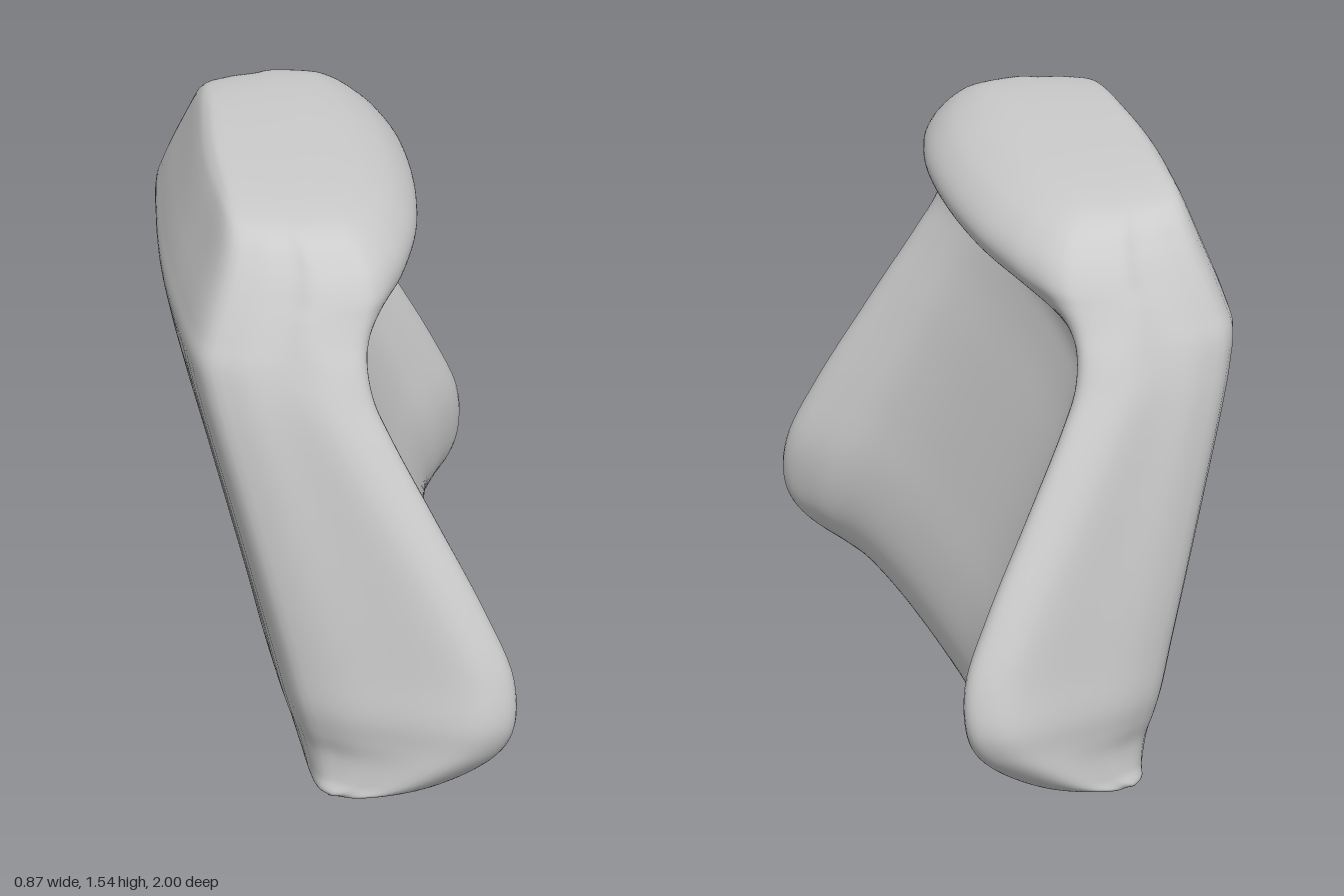
import * as THREE from 'three';

// Horizontal sections: height, back x, side-wing front x, centre front x, half width
const SECTIONS = [
  [0.0, -0.08, 0.0, -0.01, 0.84],
  [0.015, -0.11, 0.08, 0.05, 0.89],
  [0.05, -0.13, 0.22, 0.16, 0.935],
  [0.12, -0.155, 0.35, 0.26, 0.975],
  [0.18, -0.175, 0.41, 0.285, 0.993],
  [0.25, -0.195, 0.435, 0.288, 1.0],
  [0.37, -0.225, 0.43, 0.258, 0.978],
  [0.54, -0.27, 0.36, 0.19, 0.938],
  [0.8, -0.34, 0.225, 0.085, 0.868],
  [1.0, -0.395, 0.12, 0.005, 0.808],
  [1.1, -0.42, 0.075, -0.02, 0.773],
  [1.19, -0.435, 0.06, 0.005, 0.737],
  [1.25, -0.42, 0.065, 0.08, 0.71],
  [1.31, -0.4, 0.085, 0.177, 0.682],
  [1.35, -0.385, 0.1, 0.225, 0.662],
  [1.39, -0.37, 0.1, 0.242, 0.64],
  [1.43, -0.355, 0.09, 0.23, 0.612],
  [1.48, -0.335, 0.06, 0.18, 0.565],
  [1.51, -0.32, 0.025, 0.12, 0.51],
  [1.527, -0.305, -0.01, 0.065, 0.42],
  [1.537, -0.29, -0.05, 0.0, 0.28],
  [1.541, -0.265, -0.1, -0.06, 0.14],
];

const AROUND = 96, UP = 110;

// Closed smooth section, hollow or bulging at the front
function sectionRing([y, back, wing, centre, w]) {
  const depth = wing - back;
  const r = Math.min(0.13, depth * 0.28);
  // The back is narrower than the front, except along the bottom edge
  const taper = 0.16 - 0.06 * y - 0.14 * Math.exp(-y / 0.07);
  // The overhang bulges in a round arc, the hollow has a flatter floor
  const bulge = THREE.MathUtils.smoothstep(centre - wing, -0.06, 0.08);
  const front = (hollow, round) => wing + (centre - wing) * THREE.MathUtils.lerp(hollow, round, bulge);
  const half = [
    [back + r * 0.08, 0.4 * w],
    [back + r * 0.32, (0.89 - taper) * w],
    [back + r, (1 - taper) * w],
    [back + depth * 0.5, (1 - taper * 0.45) * w],
    [wing - r * (1 + 0.3 * bulge), w],
    [wing - r * (0.25 + 0.15 * bulge), (0.98 - 0.005 * bulge) * w],
    [wing, 0.925 * w],
    [front(0.32, 0.32), 0.82 * w],
    [front(0.72, 0.62), 0.66 * w],
    [front(0.94, 0.9), 0.38 * w],
  ];
  const point = ([x, z]) => new THREE.Vector3(x, y, z);
  const points = [
    point([back, 0]),
    ...half.map(point),
    point([centre, 0]),
    ...half.slice().reverse().map(([x, z]) => point([x, -z])),
  ];
  return new THREE.CatmullRomCurve3(points, true, 'catmullrom', 0.5).getPoints(AROUND).slice(0, AROUND);
}

// Smooth skin through all the sections, closed at both ends
function loftGeometry() {
  const rings = SECTIONS.map(sectionRing);
  const columns = [];
  for (let j = 0; j < AROUND; j++) {
    columns.push(new THREE.CatmullRomCurve3(rings.map((ring) => ring[j]), false, 'centripetal'));
  }
  const positions = [], index = [];
  for (let i = 0; i <= UP; i++) {
    for (const column of columns) positions.push(...column.getPoint(i / UP).toArray());
  }
  const at = (i, j) => i * AROUND + (j % AROUND);
  for (let i = 0; i < UP; i++) {
    for (let j = 0; j < AROUND; j++) {
      index.push(at(i, j), at(i, j + 1), at(i + 1, j));
      index.push(at(i, j + 1), at(i + 1, j + 1), at(i + 1, j));
    }
  }
  const bottom = positions.length / 3, top = bottom + 1;
  positions.push(-0.05, 0, 0, -0.17, 1.543, 0);
  for (let j = 0; j < AROUND; j++) {
    index.push(bottom, at(0, j + 1), at(0, j));
    index.push(top, at(UP, j), at(UP, j + 1));
  }
  const geometry = new THREE.BufferGeometry();
  geometry.setAttribute('position', new THREE.Float32BufferAttribute(positions, 3));
  geometry.setIndex(index);
  geometry.computeVertexNormals();
  return geometry;
}

export function createModel() {
  const group = new THREE.Group();
  group.name = 'cushion';
  const body = new THREE.Mesh(loftGeometry(), new THREE.MeshStandardMaterial({ color: 0xcccccc }));
  body.name = 'hollowedBody';
  group.add(body);
  return group;
}
